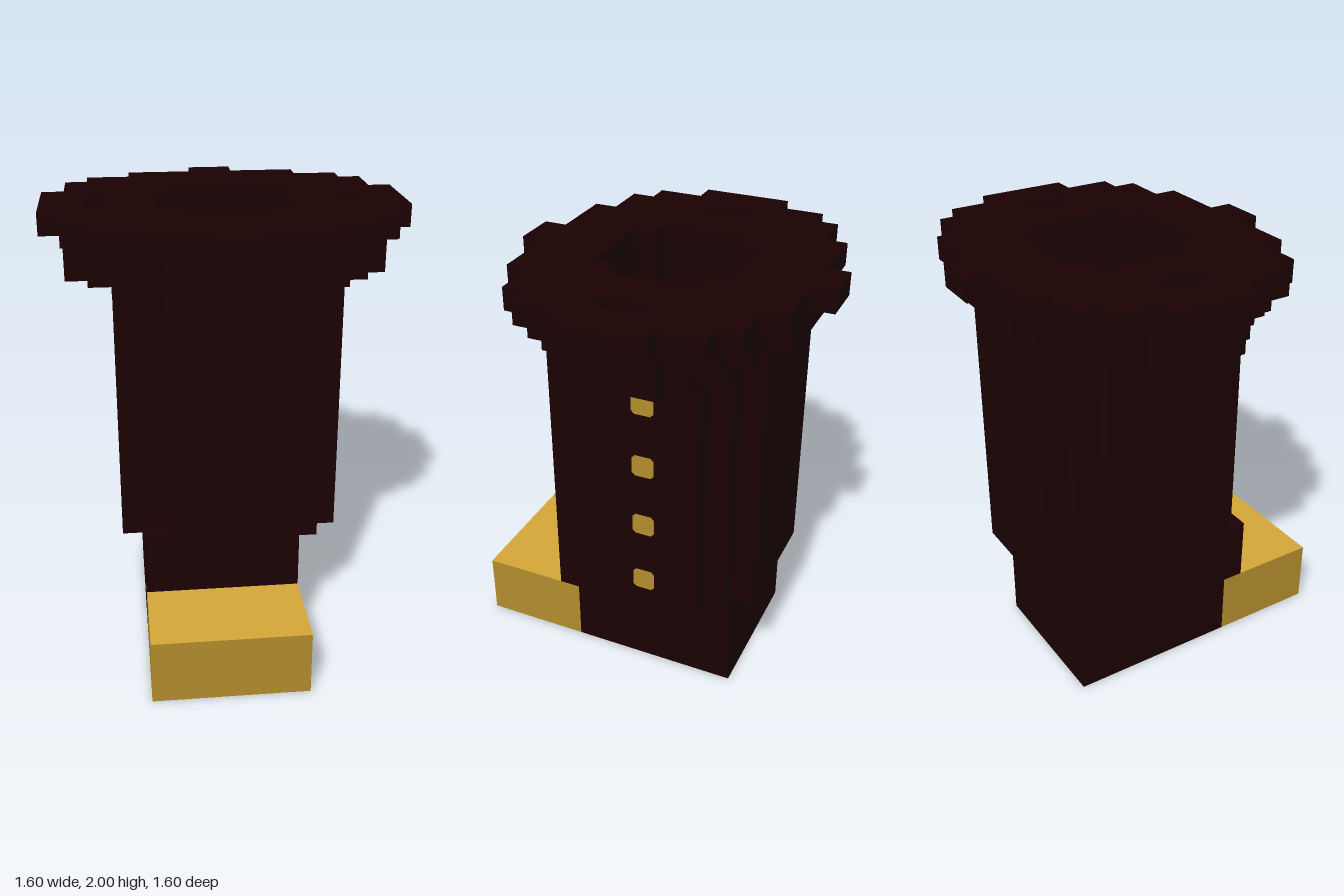
import * as THREE from 'three';

function flat(name, color) {
  const mat = new THREE.MeshStandardMaterial({ color });
  mat.name = name;
  return mat;
}
const leather = flat('darkLeather', 0x1a0101);
const brass = flat('brass', 0xb08c2c);
const brightBrass = flat('brightBrass', 0xd4a538);

// Stepped outline: rows of [zStart, halfWidth], closed at zEnd, symmetric in x
function steppedPoints(rows, zEnd) {
  const side = [];
  rows.forEach(([z, w], i) => {
    const next = i + 1 < rows.length ? rows[i + 1][0] : zEnd;
    side.push([w, z], [w, next]);
  });
  const mirrored = side.map(([x, z]) => [-x, z]).reverse();
  return [...side, ...mirrored].reverse().map(([x, z]) => new THREE.Vector2(x, -z));
}

const rect = (x0, x1, z0, z1) =>
  [[x0, z0], [x1, z0], [x1, z1], [x0, z1]].map(([x, z]) => new THREE.Vector2(x, -z));

// Horizontal slab extruded upwards from y0 to y1
function slab(name, outline, holes, y0, y1) {
  const shape = new THREE.Shape(outline);
  holes.forEach((h) => shape.holes.push(new THREE.Path(h)));
  const geo = new THREE.ExtrudeGeometry(shape, { depth: y1 - y0, bevelEnabled: false });
  geo.rotateX(-Math.PI / 2).translate(0, y0, 0);
  const mesh = new THREE.Mesh(geo, leather);
  mesh.name = name;
  return mesh;
}

function box(name, mat, [x0, x1], [y0, y1], [z0, z1]) {
  const mesh = new THREE.Mesh(new THREE.BoxGeometry(x1 - x0, y1 - y0, z1 - z0), mat);
  mesh.position.set((x0 + x1) / 2, (y0 + y1) / 2, (z0 + z1) / 2);
  mesh.name = name;
  return mesh;
}

export function createModel() {
  const boot = new THREE.Group();
  boot.name = 'boot';

  // Foot: heel, ankle and metal toe cap with a brighter top face
  const capFaces = [brass, brass, brightBrass, brass, brass, brass];
  boot.add(box('heel', leather, [-0.4, 0.3], [0, 0.3], [-0.5, 0.3]));
  boot.add(box('ankle', leather, [-0.4, 0.3], [0.3, 0.6], [-0.5, 0.4]));
  boot.add(box('toeCap', capFaces, [-0.4, 0.3], [0, 0.3], [0.3, 0.8]));

  // Hollow shaft with stepped corners
  const opening = steppedPoints([[-0.4, 0.2], [-0.3, 0.3], [0.1, 0.2]], 0.2);
  const shaft = steppedPoints([[-0.6, 0.3], [-0.5, 0.4], [-0.4, 0.5], [0.2, 0.4], [0.3, 0.3]], 0.4);
  boot.add(slab('shaft', shaft, [opening], 0.5, 1.7));

  // Flared cuff in three widening layers, the top one with two slots
  const lower = steppedPoints(
    [[-0.6, 0.3], [-0.5, 0.5], [-0.4, 0.6], [-0.3, 0.7], [0.1, 0.6], [0.2, 0.5], [0.3, 0.3]], 0.4);
  const middle = steppedPoints(
    [[-0.7, 0.3], [-0.6, 0.5], [-0.5, 0.6], [-0.3, 0.7], [0.1, 0.6], [0.3, 0.5], [0.4, 0.3]], 0.5);
  const top = steppedPoints(
    [[-0.8, 0.1], [-0.7, 0.4], [-0.6, 0.6], [-0.5, 0.7], [-0.3, 0.8],
      [0.1, 0.7], [0.3, 0.6], [0.4, 0.4], [0.5, 0.1]], 0.6);
  const slots = [rect(-0.6, -0.5, -0.2, 0), rect(0.5, 0.6, -0.2, 0)];
  boot.add(slab('cuffLower', lower, [opening], 1.7, 1.8));
  boot.add(slab('cuffMiddle', middle, [opening], 1.8, 1.9));
  boot.add(slab('cuffTop', top, [opening, ...slots], 1.9, 2.0));

  // Buttons with clipped corners down the left side
  const a = 0.05, b = 0.036;
  const octagon = new THREE.Shape(
    [[a, -b], [a, b], [b, a], [-b, a], [-a, b], [-a, -b], [-b, -a], [b, -a]]
      .map(([x, y]) => new THREE.Vector2(x, y)));
  const buttonGeo = new THREE.ExtrudeGeometry(octagon, { depth: 0.002, bevelEnabled: false });
  buttonGeo.rotateY(Math.PI / 2);
  for (let i = 0; i < 4; i++) {
    const button = new THREE.Mesh(buttonGeo, brass);
    button.position.set(0.5, 0.65 + i * 0.3, -0.15);
    button.name = 'button';
    boot.add(button);
  }
  return boot;
}
